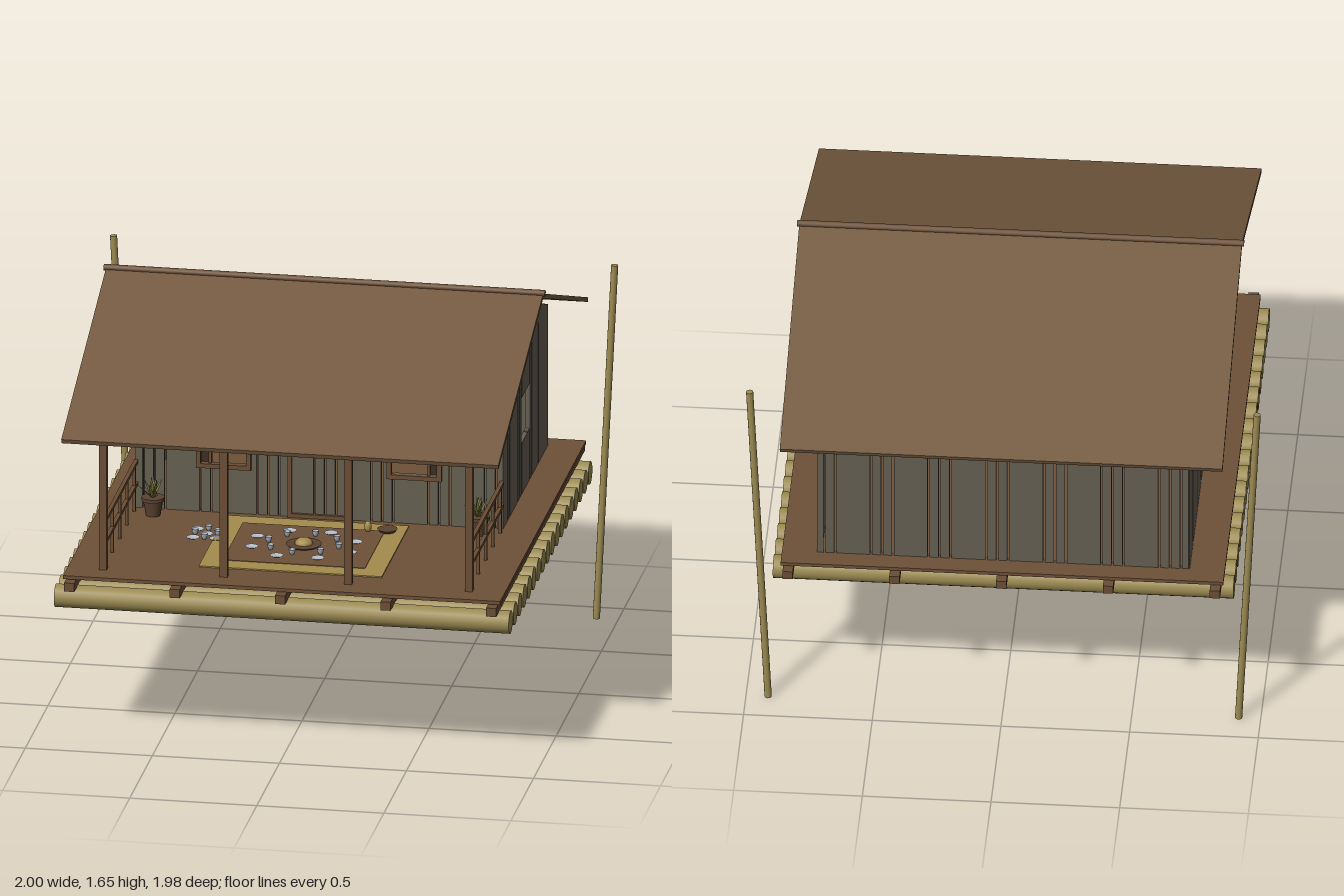
import * as THREE from 'three';

const paint = (name, color, side = THREE.FrontSide) => {
  const m = new THREE.MeshStandardMaterial({ color, side });
  m.name = name;
  return m;
};

export function createModel() {
  const roofBrown = paint('roof brown', 0x745a40);
  const timber = paint('timber brown', 0x6b4e35);
  const wallGrey = paint('weathered grey', 0x666052);
  const bamboo = paint('bamboo', 0x9c8b52);
  const deckBrown = paint('deck brown', 0x6e5138);
  const dark = paint('dark wood', 0x3a3024);
  const clay = paint('clay', 0x5c4331);
  const leafGreen = paint('leaf olive', 0x75703a, THREE.DoubleSide);
  const china = paint('china', 0xb4bcc8, THREE.DoubleSide);
  const straw = paint('straw', 0xa58c4c, THREE.DoubleSide);

  const model = new THREE.Group();
  model.name = 'raftHouse';
  const group = (name, parent = model) => {
    const g = new THREE.Group();
    g.name = name;
    parent.add(g);
    return g;
  };
  const add = (parent, name, geo, mat, x = 0, y = 0, z = 0) => {
    const m = new THREE.Mesh(geo, mat);
    m.name = name;
    m.position.set(x, y, z);
    parent.add(m);
    return m;
  };
  const box = (parent, name, mat, w, h, d, x, y, z) =>
    add(parent, name, new THREE.BoxGeometry(w, h, d), mat, x, y, z);
  const rod = (parent, name, mat, a, b, r, sides = 12) => {
    const p = new THREE.Vector3(...a), q = new THREE.Vector3(...b);
    const m = add(parent, name, new THREE.CylinderGeometry(r, r, p.distanceTo(q), sides), mat);
    m.position.copy(p).lerp(q, 0.5);
    m.quaternion.setFromUnitVectors(new THREE.Vector3(0, 1, 0), q.sub(p).normalize());
    return m;
  };

  // Raft: logs, cross beams and deck
  const raft = group('raft');
  for (let i = 0; i < 18; i++) {
    const z = 0.914 - i * 0.1035;
    rod(raft, 'log', bamboo, [-0.895, 0.605, z], [0.895, 0.605, z], 0.046, 18);
  }
  for (const x of [-0.83, -0.415, 0, 0.415, 0.83])
    box(raft, 'crossBeam', timber, 0.04, 0.035, 1.97, x, 0.665, 0);
  box(raft, 'deck', deckBrown, 1.72, 0.014, 1.9, 0, 0.693, 0);

  // Mooring poles, leaning outward
  for (const s of [-1, 1])
    rod(model, 'mooringPole', bamboo, [s * 0.914, 0, -0.873], [s * 0.986, 1.455, -0.873], 0.014);

  // Plank walls: boards with narrow gaps, cut around openings [x0, x1, y0, y1]
  const Y0 = 0.7, Y1 = 1.28;
  const plankWall = (name, a, b, phase, openings) => {
    const wall = group(name);
    const gaps = [];
    for (let k = -5; k <= 5; k++)
      for (const o of [-0.0425, 0, 0.0425]) {
        const g = phase + k * 0.224 + o;
        if (g > a + 0.02 && g < b - 0.02) gaps.push(g);
      }
    const starts = [a, ...gaps.map((g) => g + 0.004)];
    const ends = [...gaps.map((g) => g - 0.004), b];
    starts.forEach((s, i) => {
      const cuts = openings.flatMap((o) => [o[0], o[1]]).filter((c) => c > s && c < ends[i]);
      const edges = [s, ...cuts, ends[i]].sort((p, q) => p - q);
      for (let j = 0; j + 1 < edges.length; j++) {
        const w = edges[j + 1] - edges[j], x = edges[j] + w / 2;
        const hole = openings.find((o) => x > o[0] && x < o[1]);
        const spans = hole ? [[Y0, hole[2]], [hole[3], Y1]] : [[Y0, Y1]];
        for (const [lo, hi] of spans)
          box(wall, 'plank', wallGrey, w, hi - lo, 0.018, x, (lo + hi) / 2, 0);
      }
    });
    return wall;
  };
  plankWall('frontWall', -0.72, 0.72, 0.024, [
    [-0.47, -0.28, 0.9, 1.09], [0.28, 0.47, 0.9, 1.09],
  ]).position.z = 0.112;
  plankWall('backWall', -0.72, 0.72, 0.024, []).position.z = -0.862;
  for (const s of [-1, 1]) {
    const side = plankWall('sideWall', -0.87, 0.12, -0.022, [[-0.47, -0.287, 0.91, 1.095]]);
    side.rotation.y = -Math.PI / 2;
    side.position.x = s * 0.715;
  }

  // Gable ends
  const tri = new THREE.Shape([
    new THREE.Vector2(-0.87, 1.278), new THREE.Vector2(0.87, 1.278), new THREE.Vector2(0, 1.612),
  ]);
  const gableGeo = new THREE.ExtrudeGeometry(tri, { depth: 0.018, bevelEnabled: false });
  gableGeo.translate(0, 0, -0.009).rotateY(-Math.PI / 2);
  for (const s of [-1, 1]) add(model, 'gable', gableGeo, wallGrey, s * 0.715, 0, 0);

  // Roof slopes and ridge pole
  const roof = group('roof');
  const slope = Math.atan2(0.36, 0.99), len = Math.hypot(0.36, 0.99);
  for (const s of [-1, 1]) {
    const panel = box(roof, 'roofSlope', roofBrown, 1.72, 0.018, len, 0, 1.445, s * 0.494);
    panel.rotation.x = s * slope;
  }
  rod(roof, 'ridgePole', timber, [-0.868, 1.636, 0], [0.868, 1.636, 0], 0.013);

  // Door and window frames
  const frame = (name, x0, x1, y0, y1, t, z) => {
    const g = group(name);
    for (const x of [x0 + t / 2, x1 - t / 2])
      box(g, 'jamb', timber, t, y1 - y0, 0.024, x, (y0 + y1) / 2, z);
    for (const y of [y0 + t / 2, y1 - t / 2])
      box(g, 'rail', timber, x1 - x0, t, 0.022, (x0 + x1) / 2, y, z);
    return g;
  };
  frame('doorFrame', -0.122, 0.122, 0.7, 1.163, 0.016, 0.122);
  for (const s of [-1, 1]) {
    frame('windowFrame', s * 0.375 - 0.108, s * 0.375 + 0.108, 0.882, 1.108, 0.018, 0.122);
    box(model, 'shutter', dark, 0.035, 0.19, 0.02, s * 0.452, 0.995, 0.095);
    box(model, 'windowMullion', timber, 0.012, 0.19, 0.02, s * 0.43, 0.995, 0.11);
  }

  // Porch posts, header beam and side railings
  const porch = group('porch');
  for (const x of [-0.72, -0.245, 0.245, 0.72])
    box(porch, 'post', timber, 0.03, 0.61, 0.03, x, 1.005, 0.845);
  box(porch, 'headerBeam', timber, 1.47, 0.025, 0.024, 0, 1.285, 0.845);
  for (const s of [-1, 1]) {
    for (const y of [0.89, 0.8])
      box(porch, 'handrail', timber, 0.016, 0.014, 0.74, s * 0.72, y, 0.49);
    for (const z of [0.81, 0.647, 0.487, 0.326, 0.165])
      box(porch, 'baluster', timber, 0.012, 0.19, 0.012, s * 0.72, 0.795, z);
  }

  // Rug with a straw border and a laid meal
  const meal = group('meal');
  box(meal, 'rugBorder', straw, 0.72, 0.005, 0.6, 0, 0.7025, 0.46);
  box(meal, 'rugCentre', deckBrown, 0.56, 0.003, 0.44, 0, 0.7055, 0.46);
  const bowl = (r, h) => new THREE.LatheGeometry([
    new THREE.Vector2(0, 0), new THREE.Vector2(r * 0.5, 0),
    new THREE.Vector2(r * 0.85, h * 0.5), new THREE.Vector2(r, h),
  ], 14);
  const plateGeo = bowl(0.026, 0.006), cupGeo = bowl(0.014, 0.022);
  add(meal, 'tray', new THREE.CylinderGeometry(0.07, 0.06, 0.008, 18), clay, 0, 0.711, 0.46);
  add(meal, 'food', new THREE.SphereGeometry(0.036, 14, 6, 0, Math.PI * 2, 0, Math.PI / 2),
    straw, 0, 0.714, 0.46).scale.y = 0.7;
  for (let i = 0; i < 8; i++) {
    const a = (i + 0.5) * Math.PI / 4, c = Math.cos(a), d = Math.sin(a);
    add(meal, 'plate', plateGeo, china, c * 0.21, 0.708, 0.46 + d * 0.16);
    add(meal, 'cup', cupGeo, china, c * 0.14 + d * 0.03, 0.708, 0.46 + d * 0.11 - c * 0.03);
  }
  // Spare dishes to one side, fruit tray to the other
  for (let i = 0; i < 9; i++)
    add(meal, 'spareDish', i % 2 ? cupGeo : plateGeo, china,
      -0.44 + (i % 3) * 0.045, 0.702, 0.34 + Math.floor(i / 3) * 0.05);
  add(meal, 'fruitTray', new THREE.CylinderGeometry(0.04, 0.03, 0.012, 14), clay, 0.29, 0.711, 0.24);
  const fruit = add(meal, 'fruit', new THREE.SphereGeometry(0.018, 10, 8), straw, 0.215, 0.724, 0.25);
  fruit.scale.set(0.8, 1.3, 0.8);

  // Potted plants with fanned blade leaves
  const blade = new THREE.Shape();
  blade.moveTo(-0.004, 0);
  blade.quadraticCurveTo(-0.012, 0.04, 0, 0.085);
  blade.quadraticCurveTo(0.012, 0.04, 0.004, 0);
  const bladeGeo = new THREE.ShapeGeometry(blade, 4);
  for (const s of [-1, 1]) {
    const plant = group('pottedPlant');
    plant.position.set(s * 0.64, 0.7, 0.195);
    add(plant, 'pot', new THREE.CylinderGeometry(0.04, 0.028, 0.065, 14), clay, 0, 0.0325, 0);
    add(plant, 'potRim', new THREE.CylinderGeometry(0.045, 0.045, 0.014, 14), clay, 0, 0.068, 0);
    for (let i = 0; i < 14; i++) {
      const leaf = add(plant, 'leaf', bladeGeo, leafGreen, 0, 0.068, 0);
      leaf.rotation.set(0.25 + (i % 3) * 0.3, i * 2.4, 0, 'YXZ');
    }
  }
  return model;
}
